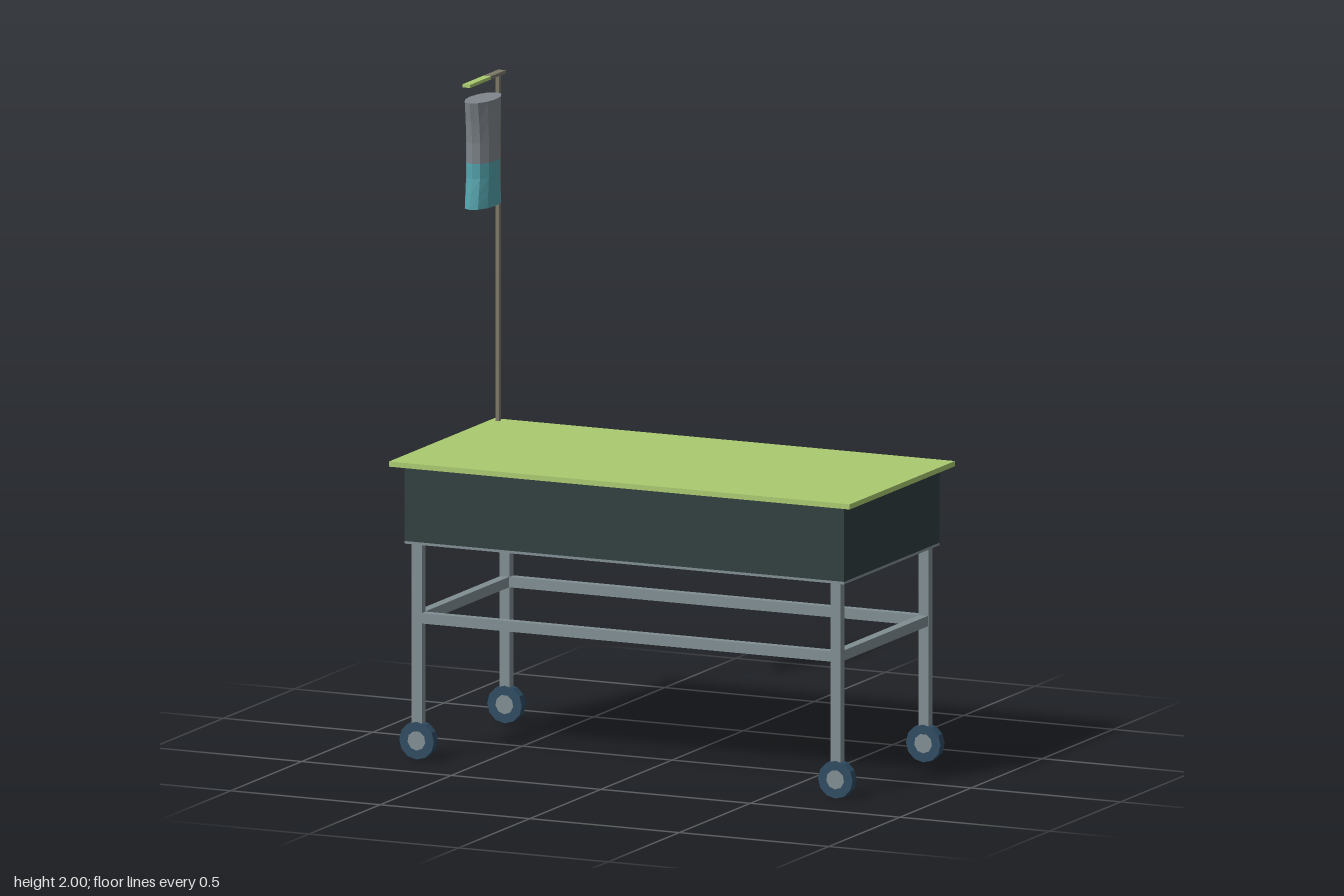
import * as THREE from 'three';

export function createModel() {
  const model = new THREE.Group();
  model.name = 'medicalTrolley';

  const mat = (name, color, flat = false) => {
    const m = new THREE.MeshStandardMaterial({ color, flatShading: flat });
    m.name = name;
    return m;
  };
  const green = mat('lime green', 0xaaca70);
  const slate = mat('dark slate', 0x2f3d3e);
  const steel = mat('steel grey', 0x7f8d92);
  const navy = mat('navy blue', 0x2d4a62, true);
  const poleGrey = mat('olive grey', 0x7a7868);
  const bagGrey = mat('bag grey', 0x7f868c, true);
  const teal = mat('teal', 0x53a3ac, true);

  const add = (name, geometry, material, x = 0, y = 0, z = 0) => {
    const mesh = new THREE.Mesh(geometry, material);
    mesh.name = name;
    mesh.position.set(x, y, z);
    model.add(mesh);
    return mesh;
  };
  // Box given by its lower and upper limits on each axis
  const box = (name, material, [x0, x1], [y0, y1], [z0, z1]) =>
    add(name, new THREE.BoxGeometry(x1 - x0, y1 - y0, z1 - z0), material,
      (x0 + x1) / 2, (y0 + y1) / 2, (z0 + z1) / 2);

  // Table top, body and base plate
  box('tableTop', green, [-0.77, 0.77], [0.904, 0.92], [-0.37, 0.37]);
  box('body', slate, [-0.735, 0.735], [0.672, 0.904], [-0.335, 0.335]);
  box('basePlate', steel, [-0.735, 0.735], [0.664, 0.672], [-0.335, 0.335]);

  // Legs with a wheel and hub at each corner
  for (const sx of [-1, 1]) {
    for (const sz of [-1, 1]) {
      const x = sx * 0.7, z = sz * 0.309;
      box('leg', steel, [x - 0.017, x + 0.017], [0.06, 0.664], [z - 0.014, z + 0.014]);
      const wheel = new THREE.CylinderGeometry(0.058, 0.058, 0.03, 12).rotateX(Math.PI / 2);
      add('wheel', wheel, navy, x, 0.058, z);
      const hub = new THREE.CylinderGeometry(0.03, 0.03, 0.033, 9).rotateX(Math.PI / 2);
      add('hub', hub, steel, x, 0.058, z);
    }
  }

  // Rails joining the legs
  for (const s of [-1, 1]) {
    box('longRail', steel, [-0.69, 0.69], [0.42, 0.452], [s * 0.309 - 0.014, s * 0.309 + 0.014]);
    box('shortRail', steel, [s * 0.7 - 0.015, s * 0.7 + 0.015], [0.42, 0.452], [-0.3, 0.3]);
  }

  // Drip stand: upright and hanging arm with a green tip
  box('pole', poleGrey, [-0.748, -0.737], [0.79, 1.992], [-0.346, -0.332]);
  box('hangingArm', poleGrey, [-0.745, -0.72], [1.99, 2], [-0.346, -0.24]);
  box('armTip', green, [-0.745, -0.72], [1.99, 2], [-0.24, -0.095]);

  // Fluid bag: an oval tube that keeps its thickness but narrows at the waist
  const halfWidth = (y) => 0.076 + 0.019 * Math.min(1, Math.max(0, (Math.abs(y - 1.775) - 0.06) / 0.1));
  const bagPart = (name, material, y0, y1) => {
    const g = new THREE.CylinderGeometry(1, 1, y1 - y0, 12, 3);
    const p = g.attributes.position;
    for (let i = 0; i < p.count; i++) {
      const y = p.getY(i) + (y0 + y1) / 2;
      p.setXYZ(i, p.getX(i) * 0.044, y, p.getZ(i) * halfWidth(y));
    }
    g.computeVertexNormals();
    add(name, g, material, -0.728, 0, -0.202);
  };
  bagPart('bagUpper', bagGrey, 1.75, 1.94);
  bagPart('bagFluid', teal, 1.612, 1.75);

  return model;
}
